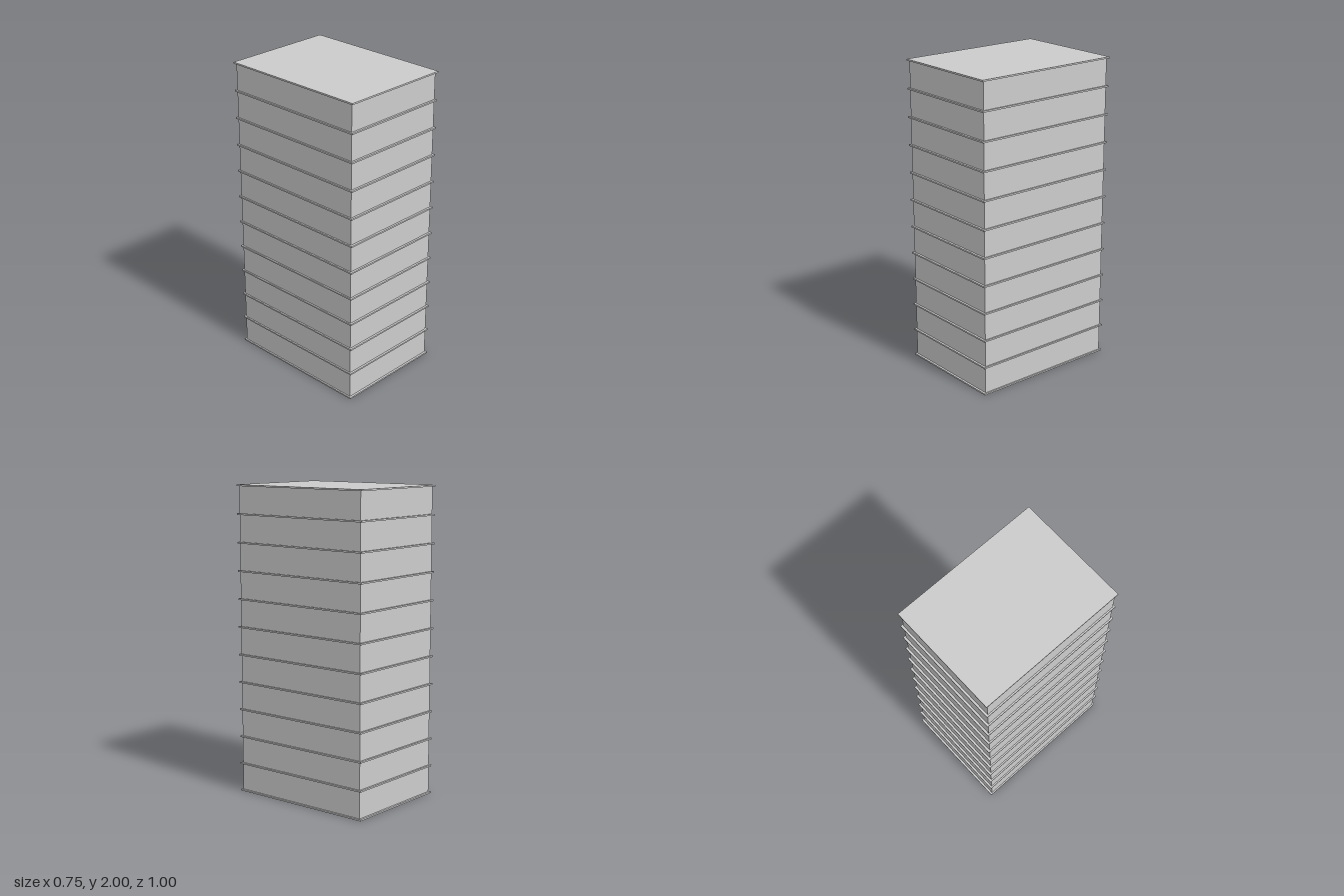
import * as THREE from 'three';

export function createModel() {
  const model = new THREE.Group();
  const material = new THREE.MeshStandardMaterial({ color: 0xcccccc });

  const storeys = 11;
  const slabHeight = 0.01;
  const pitch = (2 - slabHeight) / storeys;
  const wallHeight = pitch - slabHeight;

  function addBox(name, width, height, depth, bottom) {
    const mesh = new THREE.Mesh(new THREE.BoxGeometry(width, height, depth), material);
    mesh.name = name;
    mesh.position.y = bottom + height / 2;
    model.add(mesh);
  }

  // Projecting floor slabs, including the base and the roof
  for (let i = 0; i <= storeys; i++) {
    const name = i === 0 ? 'baseSlab' : i === storeys ? 'roofSlab' : `floorSlab${i}`;
    addBox(name, 0.746, slabHeight, 1, i * pitch);
  }

  // Recessed wall block of each storey
  for (let i = 0; i < storeys; i++) {
    addBox(`storeyWalls${i + 1}`, 0.726, wallHeight, 0.972, i * pitch + slabHeight);
  }

  return model;
}
